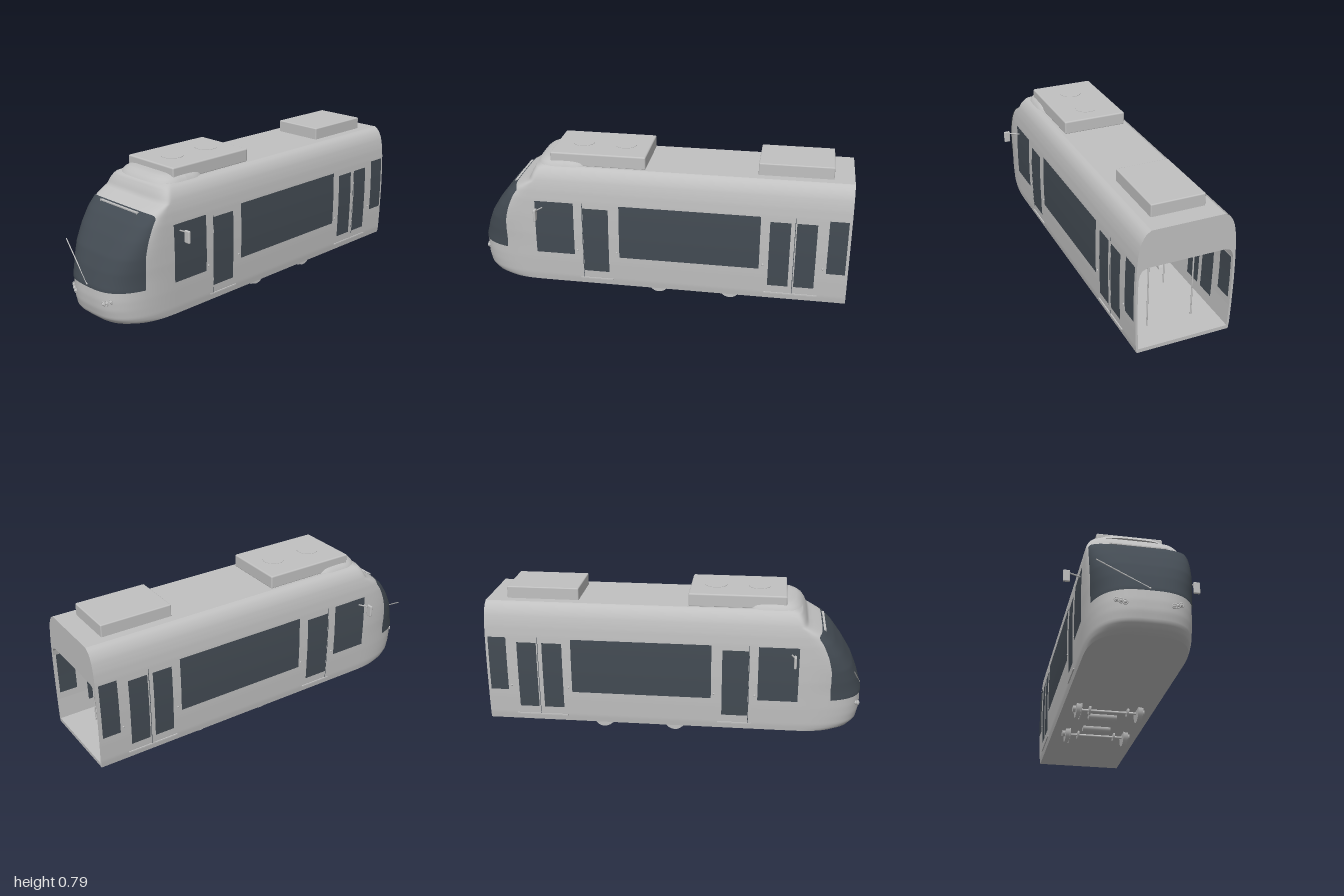
import * as THREE from 'three';
import { RoundedBoxGeometry } from 'three/addons/geometries/RoundedBoxGeometry.js';

const grey = new THREE.MeshStandardMaterial({ name: 'light grey', color: 0xc0c0c0, side: THREE.DoubleSide });
const glass = new THREE.MeshStandardMaterial({ name: 'dark glass', color: 0x434b53, side: THREE.DoubleSide });

// piecewise tables: height -> nose tip z, height -> half width
const NOSE = [[.065, .92], [.075, .957], [.1, .985], [.15, .997], [.2, 1], [.26, .997], [.34, .972], [.41, .942],
  [.49, .89], [.56, .835], [.605, .785], [.625, .745], [.645, .702], [.685, .685], [.712, .668], [.722, .645]];
const WIDTH = [[.065, .245], [.1, .25], [.2, .254], [.35, .257], [.45, .256], [.5, .2545], [.55, .2525], [.6, .248],
  [.63, .243], [.66, .236], [.68, .228], [.7, .216], [.713, .203], [.722, .186]];
function table(t, y) {
  if (y <= t[0][0]) return t[0][1];
  for (let i = 1; i < t.length; i++) {
    if (y <= t[i][0]) return THREE.MathUtils.mapLinear(y, t[i - 1][0], t[i][0], t[i - 1][1], t[i][1]);
  }
  return t[t.length - 1][1];
}
const halfWidth = (y) => table(WIDTH, y);
const Y0 = .065, Y1 = .722;

// plan curve of the nose at height y; t runs from the right side (0) to the left side (PI)
function nosePoint(y, t, off = 0) {
  const k = THREE.MathUtils.smoothstep(y, .25, .6), n = 3 + 1.5 * k;
  const zf = table(NOSE, y), z0 = Math.min(.6 + .06 * k, zf - .06), c = Math.cos(t);
  return [-Math.sign(c) * Math.abs(c) ** (2 / n) * (halfWidth(y) + off), y,
    z0 + (zf + off - z0) * Math.max(0, Math.sin(t)) ** (2 / n)];
}

// surface over a regular grid of points
function grid(nu, nv, f) {
  const pos = [], idx = [];
  for (let j = 0; j <= nv; j++) for (let i = 0; i <= nu; i++) pos.push(...f(i / nu, j / nv, i, j));
  for (let j = 0; j < nv; j++) for (let i = 0; i < nu; i++) {
    const a = j * (nu + 1) + i, d = a + nu + 1;
    idx.push(a, a + 1, d, a + 1, d + 1, d);
  }
  const g = new THREE.BufferGeometry();
  g.setAttribute('position', new THREE.Float32BufferAttribute(pos, 3));
  g.setIndex(idx);
  g.computeVertexNormals();
  return g;
}

export function createModel() {
  const root = new THREE.Group();
  root.name = 'tramFrontCar';
  const add = (name, geo, mat = grey, x = 0, y = 0, z = 0, parent = root) => {
    const m = new THREE.Mesh(geo, mat);
    m.name = name;
    m.position.set(x, y, z);
    parent.add(m);
    return m;
  };
  const box = (name, x0, x1, y0, y1, z0, z1, mat = grey) =>
    add(name, new THREE.BoxGeometry(x1 - x0, y1 - y0, z1 - z0), mat, (x0 + x1) / 2, (y0 + y1) / 2, (z0 + z1) / 2);
  const rod = (name, a, b, r) =>
    add(name, new THREE.TubeGeometry(new THREE.LineCurve3(new THREE.Vector3(...a), new THREE.Vector3(...b)), 1, r, 8));
  const sidePanel = (name, s, z0, z1, y0, y1, off, mat) => add(name, grid(1, 14, (u, v) => {
    const y = y0 + (y1 - y0) * v;
    return [s * (halfWidth(y) + off), y, s > 0 ? z1 + (z0 - z1) * u : z0 + (z1 - z0) * u];
  }), mat);

  // outer shell: straight sides and rounded nose
  const N = 64;
  const shellPoint = (y, i) => {
    if (i === 0 || i === N + 2) return [(i ? 1 : -1) * halfWidth(y), y, -1];
    return nosePoint(y, (i - 1) / N * Math.PI);
  };
  add('bodyShell', grid(N + 2, 66, (u, v, i) => shellPoint(Y0 + (Y1 - Y0) * v, i)));
  for (const [name, y] of [['roof', Y1], ['underside', Y0]]) {
    const pts = [];
    for (let i = 0; i <= N + 2; i++) {
      const p = shellPoint(y, i);
      pts.push(new THREE.Vector2(p[0], -p[2]));
    }
    const g = new THREE.ShapeGeometry(new THREE.Shape(pts)).rotateX(-Math.PI / 2);
    if (y === Y0) g.index.array.reverse(), g.attributes.normal.array.forEach((n, i, a) => { a[i] = -n; });
    add(name, g, grey, 0, y, 0);
  }

  // saloon lining and rear end frame
  const half = [.085, .2, .3, .4, .47].map((y) => [halfWidth(y) - .011, y]);
  half.push([.238, .5], [.225, .52], [.2, .53]);
  const inner = [...half, ...half.slice().reverse().map(([x, y]) => [-x, y])];
  const ZE = .64;
  const loop = [...inner, inner[0]];
  for (let k = 0; k < inner.length; k++) {
    add('saloonLining', grid(1, 1, (u, v) => [...loop[k + v], u ? ZE : -1]));
  }
  const innerShape = new THREE.Shape(inner.map((p) => new THREE.Vector2(...p)));
  add('saloonFrontWall', new THREE.ShapeGeometry(innerShape), grey, 0, 0, ZE);
  box('saloonFrontWindow', -.22, .22, .25, .5, ZE - .008, ZE - .004, glass);
  const rim = [];
  for (let i = 0; i <= 40; i++) {
    const y = Y0 + (Y1 - Y0) * i / 40;
    rim.push([halfWidth(y), y]);
  }
  const frame = new THREE.Shape([...rim, ...rim.slice().reverse().map(([x, y]) => [-x, y])].map((p) => new THREE.Vector2(...p)));
  frame.holes.push(new THREE.Path(inner.map((p) => new THREE.Vector2(...p))));
  add('rearFrame', new THREE.ShapeGeometry(frame).rotateY(Math.PI), grey, 0, 0, -1);

  // windscreen, wrapping round the nose
  add('windscreen', grid(56, 40, (u, v) => {
    const s = u * 2 - 1;
    const y = .248 + (.364 - .008 * s * s - .016 * Math.abs(s) ** 14) * v;
    const k = THREE.MathUtils.smoothstep(y, .25, .6);
    const edge = Math.acos((.932 + .028 * k) ** ((3 + 1.5 * k) / 2));
    return nosePoint(y, edge + (Math.PI - 2 * edge) * u, .004);
  }), glass);

  // side windows, doors and fittings
  const panes = [[.45, .66, .24, .54], [-.54, .205, .24, .54], [-.985, -.888, .24, .54],
    [.262, .4, .145, .515], [-.695, -.588, .145, .515], [-.83, -.725, .145, .515]];
  for (const s of [1, -1]) {
    for (const [z0, z1, y0, y1] of panes) {
      sidePanel('sideWindow', s, z0, z1, y0, y1, .0025, glass);
      sidePanel('innerWindow', s, z0, Math.min(z1, .63), y0, Math.min(y1, .47), -.014, glass);
    }
    for (const z of [.41, -.71]) {
      sidePanel('doorSeal', s, z - .006, z + .006, .1, .545, .004, grey);
      sidePanel('doorSealGap', s, z - .009, z - .006, .1, .545, .003, glass);
    }
    for (const [z0, z1] of [[.24, .42], [-.85, -.57]]) {
      box('doorSill', s * .25 - .006, s * .25 + .006, .097, .103, z0, z1);
    }
    for (const z of [.22, .435, -.56, -.87]) add('doorButton', new THREE.SphereGeometry(.006, 10, 8), grey, s * .255, .265, z);

    // mirrors
    rod('mirrorArm', [s * .25, .502, .62], [s * .325, .515, .635], .004);
    add('mirror', new RoundedBoxGeometry(.035, .065, .014, 3, .006), grey, s * .328, .493, .637);

    // headlamps in a slanted row of three
    [[.112, .185], [.13, .193], [.148, .202]].forEach(([x, y]) => {
      const z = .6 + .4 * (1 - (x / .2535) ** 3) ** (1 / 3);
      add('headlampRing', new THREE.TorusGeometry(.011, .003, 8, 20), grey, s * x, y, z + .002);
      add('headlampLens', new THREE.SphereGeometry(.009, 12, 8), grey, s * x, y, z);
    });
  }

  // wiper and destination bar
  rod('wiper', [0, .26, 1], [-.235, .415, .945], .003);
  add('wiperPivot', new THREE.SphereGeometry(.006, 10, 8), grey, 0, .26, .998);
  box('destinationBar', -.145, .145, .602, .608, .776, .794);
  for (const s of [1, -1]) box('destinationBarEnd', s * .143 - .002, s * .143 + .002, .588, .606, .776, .794);

  // roof units and fairing
  add('frontRoofUnit', new RoundedBoxGeometry(.345, .072, .51, 3, .008), grey, 0, .754, .33);
  add('rearRoofUnit', new RoundedBoxGeometry(.28, .07, .385, 3, .006), grey, 0, .751, -.7025);
  for (const z of [.21, .44]) add('roofFan', new THREE.CylinderGeometry(.058, .058, .003, 32), grey, 0, .7905, z);
  const rings = [[.195, .155, .72], [.185, .142, .738], [.165, .12, .75], [.14, .09, .756], [0, 0, .757]];
  add('roofFairing', grid(48, 4, (u, v, i, j) => {
    const [a, b, y] = rings[j], t = -u * Math.PI * 2, c = Math.cos(t), d = Math.sin(t);
    return [a * Math.sign(c) * Math.abs(c) ** .6, y, .515 + b * Math.sign(d) * Math.abs(d) ** .6];
  }));

  // running gear
  const disc = (name, r, len, x, y, z) =>
    add(name, new THREE.CylinderGeometry(r, r, len, 32).rotateZ(Math.PI / 2), grey, x, y, z);
  for (const z of [.005, -.385]) {
    disc('axle', .007, .33, 0, .05, z);
    for (const s of [1, -1]) {
      disc('wheelTread', .055, .026, s * .166, .062, z);
      disc('wheelFlange', .062, .006, s * .154, .062, z);
      disc('wheelHub', .022, .035, s * .176, .058, z);
      disc('brakeDisc', .03, .01, s * .103, .058, z);
    }
  }
  for (const z of [-.1, -.29]) disc('motor', .023, .155, -.013, .063, z);

  // interior: grab poles, rails and front platform
  for (const s of [1, -1]) {
    for (const z of [-.85, -.55, -.1, .2, .45]) rod('grabPole', [s * .12, .085, z], [s * .12, .53, z], .004);
    rod('grabRail', [s * .12, .48, -.85], [s * .12, .48, .45], .004);
  }
  box('frontPlatform', -.24, .24, .086, .2, .5, .63);
  return root;
}
